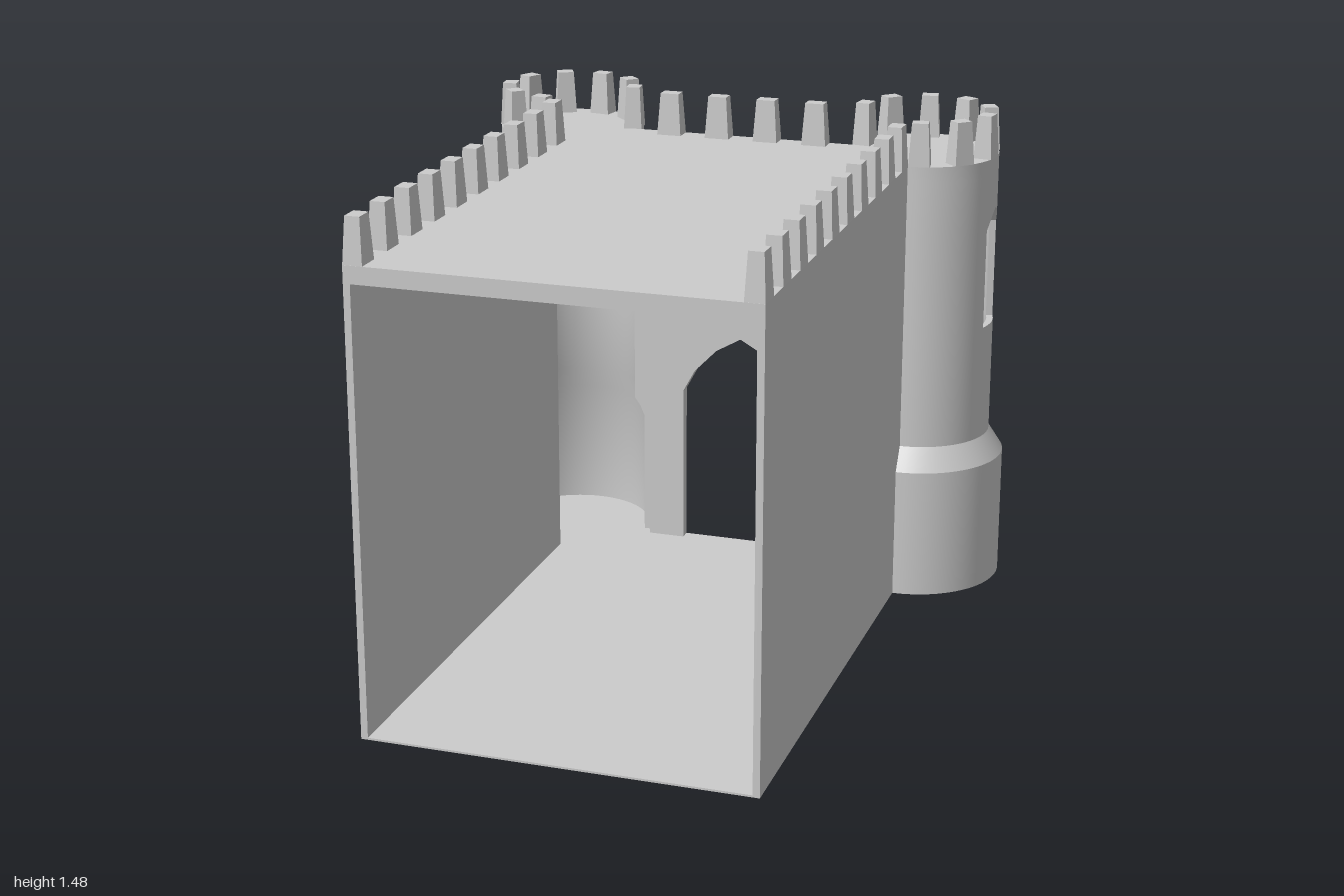
import * as THREE from 'three';
import { toCreasedNormals } from 'three/addons/utils/BufferGeometryUtils.js';

const CX = 0.57, CZ = -0.73;      // tower centre; also hall half width and gate plane
const ROOF_Y = 1.35, CEIL_Y = 1.30;
const STEP = 6, COLUMNS = 45;     // tower walls sweep 270 degrees
const rad = THREE.MathUtils.degToRad;
const mat = new THREE.MeshStandardMaterial({ color: 0xcccccc });

function add(parent, name, geometry, x = 0, y = 0, z = 0) {
  const mesh = new THREE.Mesh(geometry, mat);
  mesh.name = name;
  mesh.position.set(x, y, z);
  parent.add(mesh);
  return mesh;
}

// Point on a tower, swept from -x through -z and +x to +z
const polar = (deg, r, y) => [-Math.cos(rad(deg)) * r, y, -Math.sin(rad(deg)) * r];

// Height of the pointed window head at an angle; spring line elsewhere
function archHeight(deg) {
  const t = Math.min(Math.abs(deg - 90), Math.abs(deg - 180)) / 18;
  return t < 1 ? 1.13 + 0.06 * (1 - Math.pow(t, 1.6)) : 1.13;
}

// Hollow three-quarter tower wall made of cells, with window cells left out
function towerWallGeometry() {
  const rows = [
    [0.27, 0.235, () => 0], [0.27, 0.235, () => 0.4], [0.225, 0.205, () => 0.47],
    [0.225, 0.205, () => 0.825], [0.225, 0.205, archHeight], [0.225, 0.205, () => CEIL_Y],
  ];
  const solid = (i, j) => {
    if (i < 0 || i >= COLUMNS || j < 0 || j >= rows.length - 1) return false;
    const mid = (i + 0.5) * STEP;
    return !(j === 3 && (Math.abs(mid - 90) < 18 || Math.abs(mid - 180) < 18));
  };
  const pos = [];
  const quad = (a, b, c, d) => pos.push(...a, ...b, ...c, ...a, ...c, ...d);
  const outer = (i, j) => polar(i * STEP, rows[j][0], rows[j][2](i * STEP));
  const inner = (i, j) => polar(i * STEP, rows[j][1], rows[j][2](i * STEP));
  for (let i = 0; i < COLUMNS; i++) {
    for (let j = 0; j < rows.length - 1; j++) {
      if (!solid(i, j)) continue;
      const k = i + 1, t = j + 1;
      quad(outer(k, j), outer(i, j), outer(i, t), outer(k, t));
      quad(inner(i, j), inner(k, j), inner(k, t), inner(i, t));
      if (!solid(i - 1, j)) quad(outer(i, j), inner(i, j), inner(i, t), outer(i, t));
      if (!solid(k, j)) quad(inner(k, j), outer(k, j), outer(k, t), inner(k, t));
      if (!solid(i, t)) quad(inner(i, t), inner(k, t), outer(k, t), outer(i, t));
      if (!solid(i, j - 1)) quad(outer(i, j), outer(k, j), inner(k, j), inner(i, j));
    }
  }
  const g = new THREE.BufferGeometry();
  g.setAttribute('position', new THREE.Float32BufferAttribute(pos, 3));
  return toCreasedNormals(g, 0.45);
}

// Slab following the hall plan with a round lobe of radius r at each tower
function slabGeometry(r, thickness) {
  const right = [];
  for (let i = 0; i <= COLUMNS; i++) {
    const [x, , z] = polar(i * STEP, r, 0);
    right.push(new THREE.Vector2(CX + x, CZ + z));
  }
  right.push(new THREE.Vector2(CX, 1));
  const left = right.map(p => new THREE.Vector2(-p.x, p.y)).reverse();
  const g = new THREE.ExtrudeGeometry(new THREE.Shape([...right, ...left]), {
    depth: thickness, bevelEnabled: false,
  });
  g.rotateX(Math.PI / 2);
  return toCreasedNormals(g, 0.45);
}

// Pointed opening: half width w, spring line and peak heights
function pointedHole(cx, w, bottom, spring, peak) {
  const h = peak - spring;
  const half = [[w, bottom], [w, spring], [w * 0.8, spring + h * 0.37], [w * 0.42, spring + h * 0.76]];
  const pts = [...half, [0, peak], ...half.map(([x, y]) => [-x, y]).reverse()];
  return pts.map(([x, y]) => new THREE.Vector2(cx + x, y));
}

function gateWallGeometry() {
  const half = [[0.19, 0], [0.305, 0], [0.305, 0.4], [0.355, 0.47], [0.355, CEIL_Y]];
  const arch = pointedHole(0, 0.19, 0, 0.51, 0.7).slice(1, -1).reverse();
  const outline = [
    ...half.map(([x, y]) => new THREE.Vector2(x, y)),
    ...half.map(([x, y]) => new THREE.Vector2(-x, y)).reverse(),
    ...arch,
  ];
  const shape = new THREE.Shape(outline);
  for (const s of [-1, 1]) {
    shape.holes.push(new THREE.Path(pointedHole(s * 0.16, 0.055, 0.825, 1.13, 1.195)));
  }
  return new THREE.ExtrudeGeometry(shape, { depth: 0.035, bevelEnabled: false });
}

// Tapered battlement block standing on y = 0
function merlonGeometry() {
  const g = new THREE.BoxGeometry(0.076, 0.13, 0.056).toNonIndexed();
  g.translate(0, 0.065, 0);
  const p = g.attributes.position;
  for (let i = 0; i < p.count; i++) {
    if (p.getY(i) > 0.1) p.setXYZ(i, p.getX(i) * 0.76, p.getY(i), p.getZ(i) * 0.76);
  }
  g.computeVertexNormals();
  return g;
}

export function createModel() {
  const castle = new THREE.Group();
  castle.name = 'gatehouse';

  // Hall shell, open at the front
  add(castle, 'floor', slabGeometry(0.235, 0.006), 0, 0.006, 0);
  add(castle, 'roof', slabGeometry(0.225, ROOF_Y - CEIL_Y), 0, ROOF_Y, 0);
  add(castle, 'gateWall', gateWallGeometry(), 0, 0, CZ);
  for (const s of [-1, 1]) {
    const wall = new THREE.BoxGeometry(0.02, CEIL_Y, 1.51);
    add(castle, s > 0 ? 'leftWall' : 'rightWall', wall, s * (CX - 0.01), CEIL_Y / 2, 0.245);
  }

  // Battlements on the hall
  const merlon = merlonGeometry();
  const battlements = new THREE.Group();
  battlements.name = 'battlements';
  castle.add(battlements);
  for (let i = 0; i < 4; i++) {
    add(battlements, 'gateMerlon', merlon, -0.2325 + i * 0.155, ROOF_Y, CZ + 0.028);
  }
  for (const s of [-1, 1]) {
    for (let i = 0; i < 10; i++) {
      const m = add(battlements, 'sideMerlon', merlon, s * (CX - 0.028), ROOF_Y, -0.47 + i * 0.159);
      m.rotation.y = Math.PI / 2;
    }
  }

  // Corner towers; a quarter turn gives the opposite hand
  const wall = towerWallGeometry();
  for (const s of [-1, 1]) {
    const tower = new THREE.Group();
    tower.name = s > 0 ? 'leftTower' : 'rightTower';
    tower.position.set(s * CX, 0, CZ);
    tower.rotation.y = s > 0 ? 0 : Math.PI / 2;
    castle.add(tower);
    add(tower, 'towerWall', wall);
    for (let i = 0; i < 8; i++) {
      const deg = 8.5 + i * 36.15;
      const m = add(tower, 'towerMerlon', merlon, ...polar(deg, 0.198, ROOF_Y));
      m.rotation.y = Math.PI / 2 - rad(deg);
      m.scale.x = 0.85;
    }
  }
  return castle;
}
